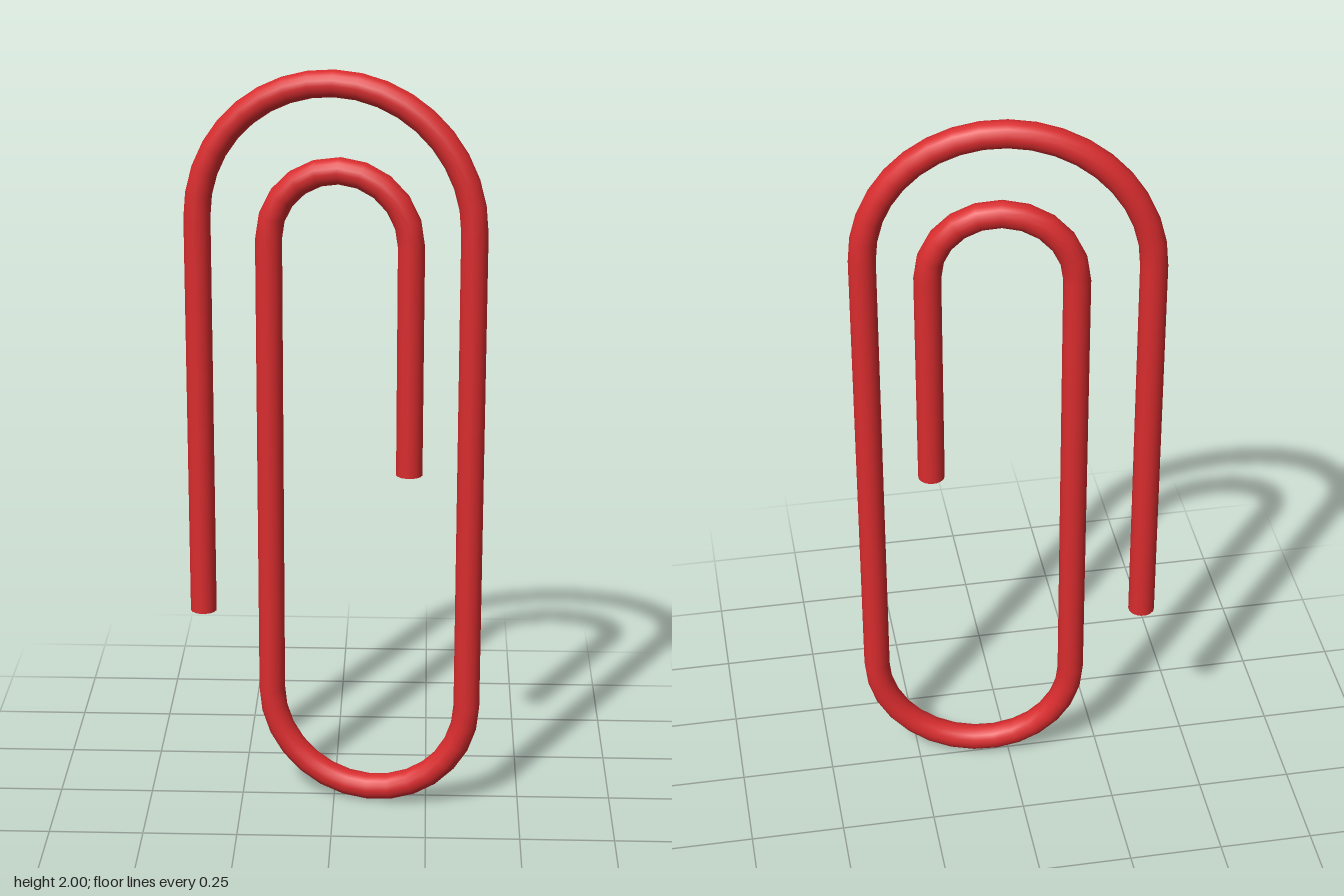
import * as THREE from 'three';

const WIRE = 0.035, SIDES = 16;

export function createModel() {
  const red = new THREE.MeshStandardMaterial({ color: 0xd92c2e });
  red.name = 'red';
  const group = new THREE.Group();
  group.name = 'paperClip';
  const clip = new THREE.Group();
  clip.name = 'bentWire';
  clip.rotation.y = -Math.atan(0.2);
  group.add(clip);

  const add = (name, geometry, x, y) => {
    const mesh = new THREE.Mesh(geometry, red);
    mesh.name = name;
    mesh.position.set(x, y, 0);
    clip.add(mesh);
    return mesh;
  };
  // straight run of wire between two heights
  const straight = (name, x, y0, y1) =>
    add(name, new THREE.CylinderGeometry(WIRE, WIRE, y1 - y0, SIDES, 1, true), x, (y0 + y1) / 2);
  // half-circle bend joining two straight runs
  const bend = (name, xa, xb, y, segments) =>
    add(name, new THREE.TorusGeometry((xb - xa) / 2, WIRE, SIDES, segments, Math.PI), (xa + xb) / 2, y);
  // flat cut end of the wire, facing down
  const cutEnd = (name, x, y) => {
    add(name, new THREE.CircleGeometry(WIRE, SIDES), x, y).rotation.x = Math.PI / 2;
  };

  // positions of the four runs and heights of the three bends
  const outerLow = -0.363, innerLow = -0.173, innerEnd = 0.201, outer = 0.363;
  const topY = 1.602, bottomY = 0.303, innerY = 1.556;
  const outerEndY = 0.512, innerEndY = 0.945;

  straight('outerFreeLeg', outerLow, outerEndY, topY);
  bend('outerTopBend', outerLow, outer, topY, 18);
  straight('outerLongLeg', outer, bottomY, topY);
  bend('bottomBend', innerLow, outer, bottomY, 14).rotation.z = Math.PI;
  straight('innerLongLeg', innerLow, bottomY, innerY);
  bend('innerTopBend', innerLow, innerEnd, innerY, 10);
  straight('innerFreeLeg', innerEnd, innerEndY, innerY);
  cutEnd('outerCutEnd', outerLow, outerEndY);
  cutEnd('innerCutEnd', innerEnd, innerEndY);

  return group;
}
